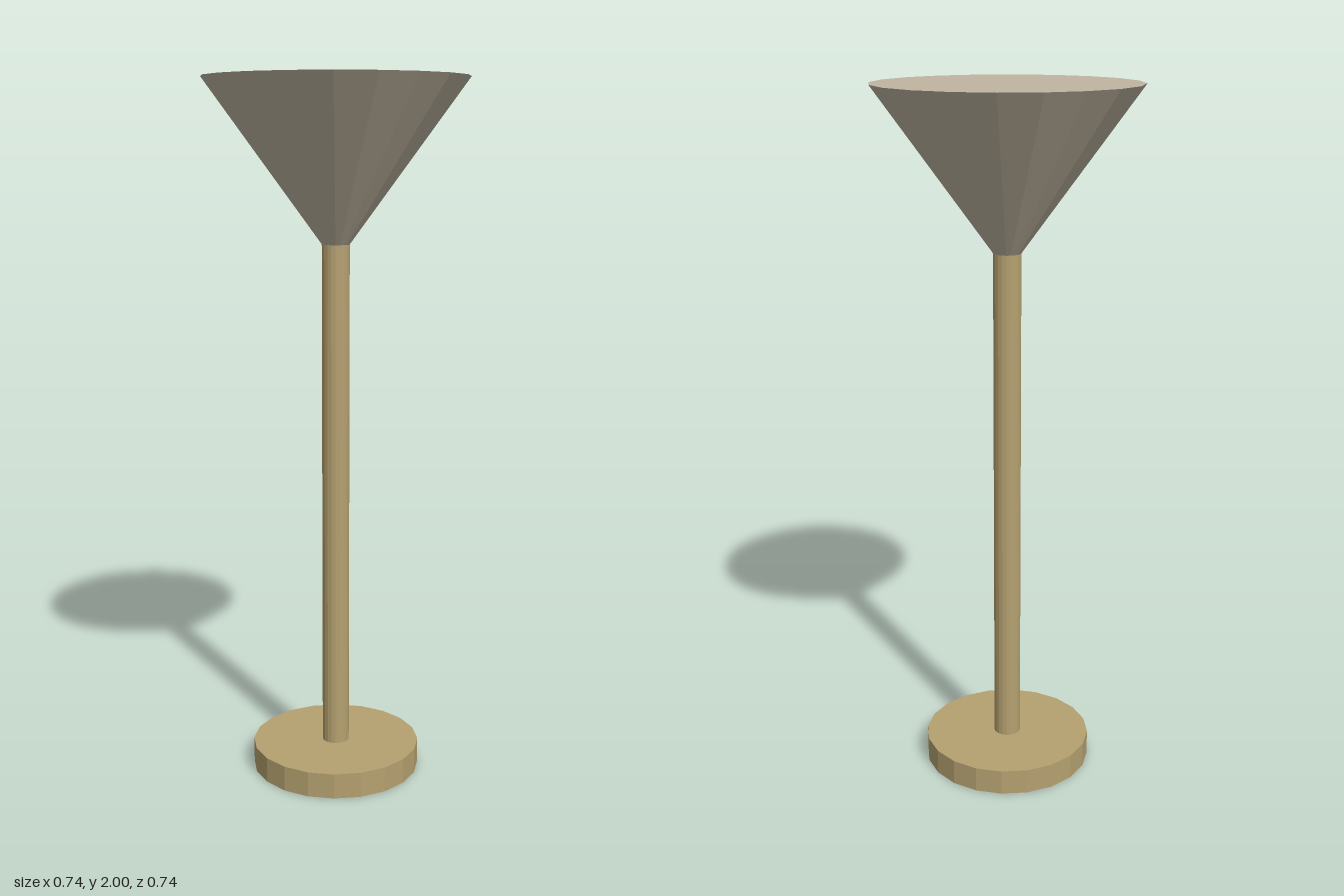
import * as THREE from 'three';

const SIDES = 20;

export function createModel() {
  const model = new THREE.Group();
  model.name = 'floorLamp';

  const brass = new THREE.MeshStandardMaterial({ name: 'brass', color: 0xb5a170, flatShading: true });
  const cream = new THREE.MeshStandardMaterial({ name: 'cream', color: 0xc0b5a1, flatShading: true });

  // A faceted round part standing between two heights
  function addRound(name, topRadius, bottomRadius, y0, y1, material) {
    const geometry = new THREE.CylinderGeometry(topRadius, bottomRadius, y1 - y0, SIDES);
    const mesh = new THREE.Mesh(geometry, material);
    mesh.name = name;
    mesh.position.y = (y0 + y1) / 2;
    model.add(mesh);
  }

  addRound('base', 0.245, 0.245, 0, 0.074, brass);
  addRound('pole', 0.039, 0.039, 0.074, 1.548, brass);
  // Upturned shade, closed at the top
  addRound('shade', 0.368, 0.039, 1.548, 2, cream);

  return model;
}
